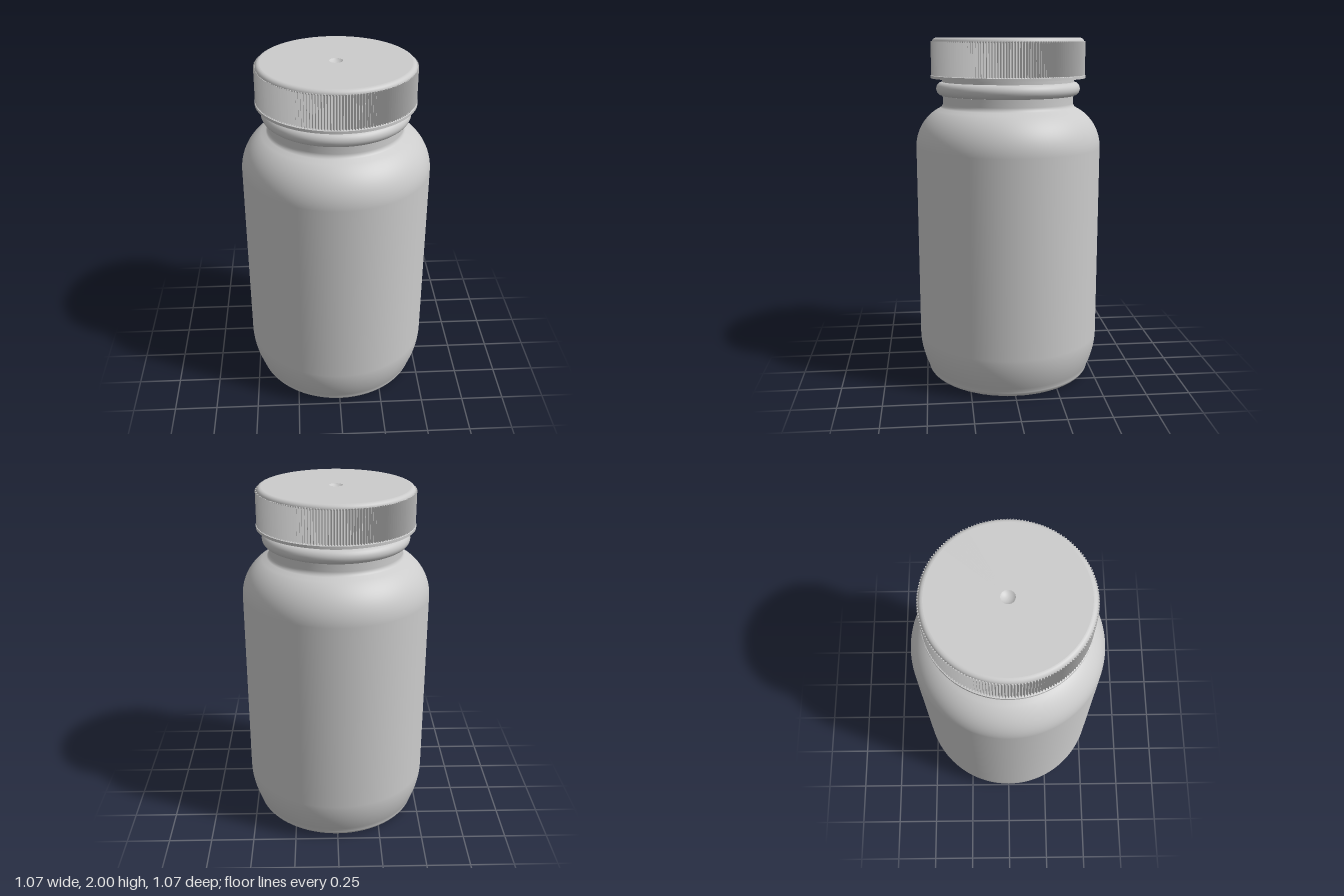
import * as THREE from 'three';
import { mergeGeometries } from 'three/addons/utils/BufferGeometryUtils.js';

const SEGMENTS = 128;
const material = new THREE.MeshStandardMaterial({ color: 0xcccccc });

// Points of a circular arc in the profile plane, angles in degrees
function arc(cx, cy, r, from, to, steps = 8) {
  return Array.from({ length: steps + 1 }, (_, i) => {
    const a = THREE.MathUtils.degToRad(from + ((to - from) * i) / steps);
    return [cx + r * Math.cos(a), cy + r * Math.sin(a)];
  });
}

// A repeated profile point keeps that edge sharp
function lathe(name, profile, segments = SEGMENTS) {
  const points = profile.map(([x, y]) => new THREE.Vector2(Math.max(x, 0), y));
  const mesh = new THREE.Mesh(new THREE.LatheGeometry(points, segments), material);
  mesh.name = name;
  return mesh;
}

function createBottle() {
  const bottle = new THREE.Group();
  bottle.name = 'bottle';

  // Outer wall from the base to the mouth, then down the inside
  const taper = new THREE.QuadraticBezierCurve(
    new THREE.Vector2(0.487, 0.045),
    new THREE.Vector2(0.535, 0.15),
    new THREE.Vector2(0.536, 0.25)
  ).getPoints(10).map((p) => [p.x, p.y]);
  bottle.add(lathe('bottleWall', [
    [0, 0.016], [0.38, 0.013], [0.41, 0.007],
    ...arc(0.444, 0.05, 0.045, -90, -15, 6),
    ...taper,
    [0.536, 0.8],
    ...arc(0.286, 1.38, 0.25, 0, 58, 14),
    ...arc(0.408, 1.632, 0.03, 238, 180, 5),
    [0.378, 1.66], [0.378, 1.675], [0.378, 1.675],
    ...arc(0.376, 1.714, 0.039, -90, 90, 12),
    [0.38, 1.753], [0.38, 1.753], [0.38, 1.95], [0.38, 1.95],
    [0.345, 1.95], [0.345, 1.95], [0.345, 1.62],
    [0.37, 1.58], [0.46, 1.5], [0.505, 1.38], [0.505, 0.25],
    [0.45, 0.06], [0.4, 0.045], [0, 0.045],
  ]));

  // Ring of short radial ribs under the base
  const count = 60;
  const ribs = [];
  for (let i = 0; i < count; i++) {
    const rib = new THREE.CapsuleGeometry(0.007, 0.055, 3, 6);
    rib.rotateZ(Math.PI / 2);
    rib.translate(0.42, 0.007, 0);
    rib.rotateY((i / count) * Math.PI * 2);
    ribs.push(rib);
  }
  const baseRibs = new THREE.Mesh(mergeGeometries(ribs), material);
  baseRibs.name = 'baseRibs';
  bottle.add(baseRibs);
  return bottle;
}

function createCap() {
  const cap = new THREE.Group();
  cap.name = 'cap';

  // Smooth inner shell with the lower lip, rounded top edge and centre dimple
  const dimple = arc(0, 2.04, 0.055, -47, -90, 6);
  cap.add(lathe('capShell', [
    [0, 1.955], [0.408, 1.955], [0.408, 1.955], [0.408, 1.775], [0.408, 1.775],
    [0.445, 1.775], [0.445, 1.775], [0.445, 1.79], [0.445, 1.79],
    [0.43, 1.795], [0.43, 1.795], [0.43, 1.97],
    ...arc(0.41, 1.975, 0.025, 0, 90, 7),
    [0.41, 2], [0.0376, 2], [0.0376, 2],
    ...dimple,
  ]));

  // Fine grip ribs around the skirt
  const teeth = 180;
  const outline = [];
  for (let i = 0; i < teeth * 2; i++) {
    const a = (i / teeth) * Math.PI;
    const r = i % 2 ? 0.43 : 0.442;
    outline.push(new THREE.Vector2(r * Math.cos(a), r * Math.sin(a)));
  }
  const shape = new THREE.Shape(outline);
  shape.holes.push(new THREE.Path().absarc(0, 0, 0.42, 0, Math.PI * 2, true));
  const geometry = new THREE.ExtrudeGeometry(shape, {
    depth: 0.192, bevelEnabled: false, curveSegments: 64,
  });
  geometry.rotateX(-Math.PI / 2);
  geometry.translate(0, 1.788, 0);
  const grip = new THREE.Mesh(geometry, material);
  grip.name = 'capGripRibs';
  cap.add(grip);
  return cap;
}

export function createModel() {
  const model = new THREE.Group();
  model.name = 'screwCapBottle';
  model.add(createBottle(), createCap());
  return model;
}
